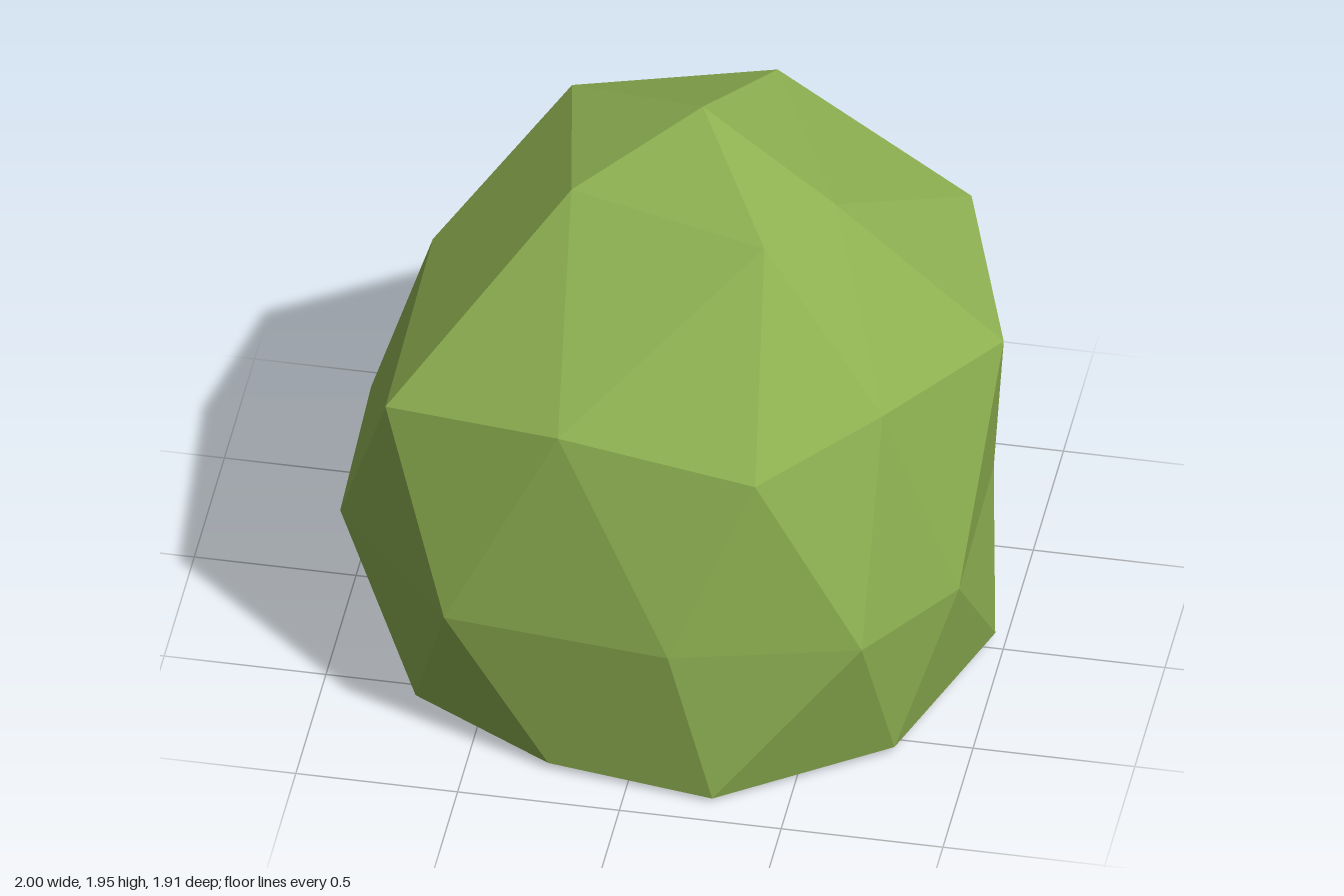
import * as THREE from 'three';

// Rings of the faceted crown, each listed from +x round towards +z.
const apex = [0.07, 1.95, -0.01];
const base = [0.05, 0.005, 0];
const shoulder = [
  [0.50, 1.72, 0.10], [0.34, 1.77, 0.42], [-0.29, 1.77, 0.24], [-0.39, 1.74, -0.31], [0.21, 1.74, -0.50],
];
const upper = [
  [1.00, 1.18, -0.01], [0.73, 1.28, 0.55], [0.39, 1.18, 0.84], [-0.22, 1.28, 0.84], [-0.79, 1.17, 0.64],
  [-0.77, 1.30, -0.04], [-0.62, 1.18, -0.60], [-0.10, 1.31, -0.92], [0.38, 1.19, -0.91], [0.80, 1.30, -0.55],
];
const middle = [
  [0.94, 0.54, 0.41], [0.71, 0.56, 0.79], [0.14, 0.57, 0.95], [-0.57, 0.55, 0.85], [-0.98, 0.54, 0.37],
  [-1.00, 0.54, -0.25], [-0.50, 0.54, -0.87], [-0.02, 0.54, -0.96], [0.58, 0.53, -0.73], [0.93, 0.53, -0.22],
];
const lower = [
  [0.97, 0.04, -0.03], [0.77, 0.03, 0.57], [0.27, 0.02, 0.91], [-0.25, 0.03, 0.84], [-0.71, 0.02, 0.57],
  [-0.78, 0.05, 0.10], [-0.75, 0.04, -0.38], [-0.36, 0.03, -0.68], [0.10, 0.04, -0.88], [0.72, 0.02, -0.50],
];

function crownGeometry() {
  const positions = [];
  const tri = (...corners) => corners.forEach((p) => positions.push(...p));
  const at = (ring, i) => ring[(i + ring.length) % ring.length];

  // Cap: five facets at the tip, then four per sector down to the upper ring
  for (let k = 0; k < 5; k++) {
    const a = at(shoulder, k), next = at(shoulder, k + 1), j = 2 * k;
    tri(apex, next, a);
    tri(a, at(upper, j), at(upper, j - 1));
    tri(a, at(upper, j + 1), at(upper, j));
    tri(a, next, at(upper, j + 1));
  }
  // Sides: two zigzag bands, and the flat underside
  for (let j = 0; j < 10; j++) {
    const b = at(upper, j), c = at(middle, j), d = at(lower, j);
    const cPrev = at(middle, j - 1), dNext = at(lower, j + 1);
    tri(b, at(upper, j + 1), c);
    tri(b, c, cPrev);
    tri(cPrev, c, d);
    tri(c, dNext, d);
    tri(base, d, dNext);
  }
  const geometry = new THREE.BufferGeometry();
  geometry.setAttribute('position', new THREE.Float32BufferAttribute(positions, 3));
  geometry.computeVertexNormals();
  return geometry;
}

export function createModel() {
  const leafGreen = new THREE.MeshStandardMaterial({ color: 0x8fb252, flatShading: true });
  leafGreen.name = 'leaf green';

  const crown = new THREE.Mesh(crownGeometry(), leafGreen);
  crown.name = 'bushCrown';

  const bush = new THREE.Group();
  bush.name = 'bush';
  bush.add(crown);
  return bush;
}
